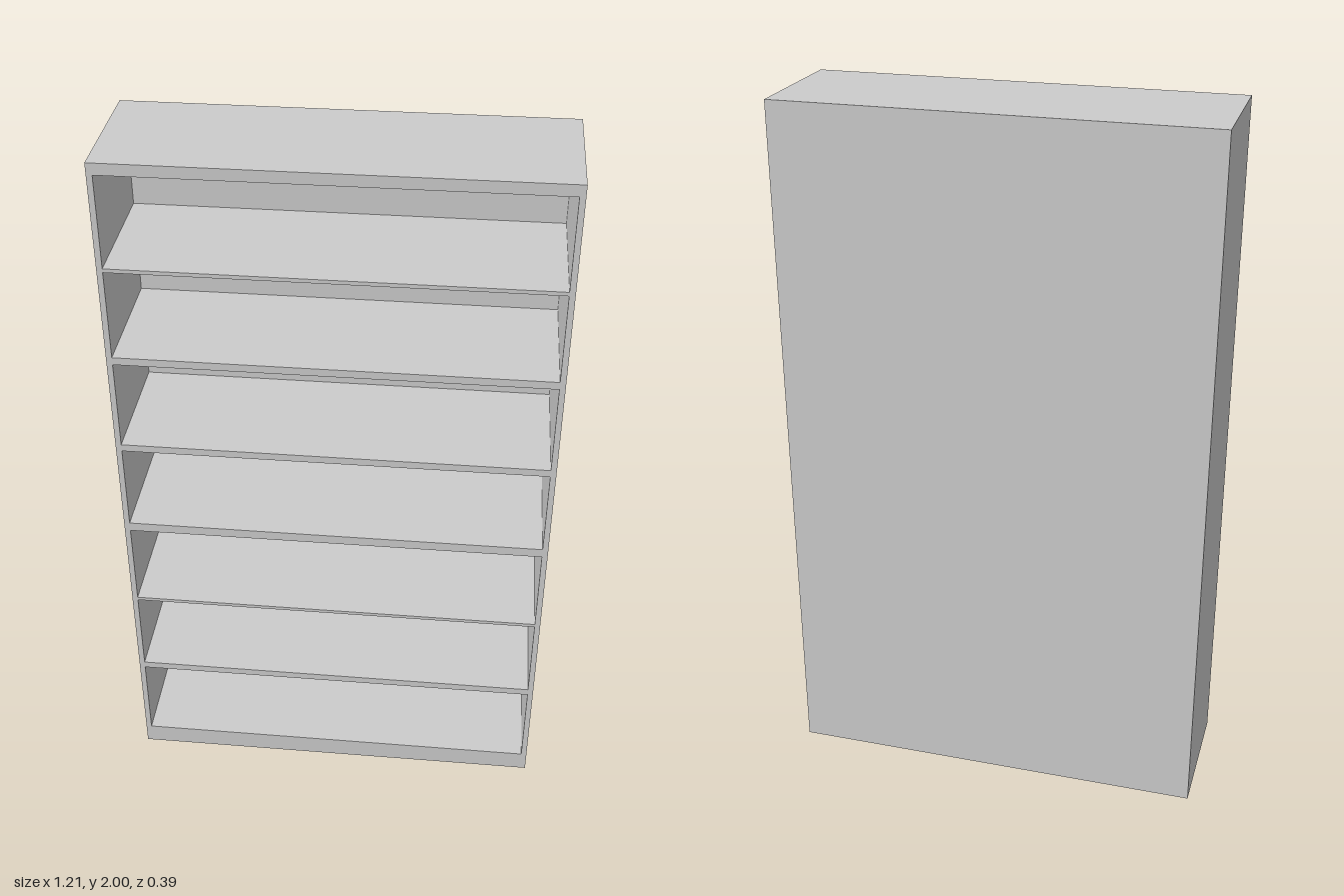
import * as THREE from 'three';

const W = 1.206, H = 2, D = 0.386; // overall size
const BACK = 0.015;                // back panel thickness
const INNER = 0.587;               // half width of each compartment

// Bottom and top height of each open compartment
const BAYS = [
  [0.061, 0.321], [0.342, 0.597], [0.607, 0.862], [0.889, 1.143],
  [1.164, 1.424], [1.446, 1.7], [1.711, 1.968],
];

function rectangle(path, halfWidth, y0, y1) {
  path.moveTo(-halfWidth, y0);
  path.lineTo(halfWidth, y0);
  path.lineTo(halfWidth, y1);
  path.lineTo(-halfWidth, y1);
  path.closePath();
  return path;
}

export function createModel() {
  const group = new THREE.Group();
  group.name = 'bookcase';
  const material = new THREE.MeshStandardMaterial({ color: 0xcccccc, flatShading: true });

  // Sides, top, plinth and shelves: one frame pierced by the compartments
  const outline = rectangle(new THREE.Shape(), W / 2, 0, H);
  outline.holes = BAYS.map(([y0, y1]) => rectangle(new THREE.Path(), INNER, y0, y1));
  const frame = new THREE.Mesh(
    new THREE.ExtrudeGeometry(outline, { depth: D - BACK, bevelEnabled: false }), material);
  frame.name = 'shelfFrame';
  frame.position.z = -D / 2 + BACK;
  group.add(frame);

  // Panel closing the rear
  const back = new THREE.Mesh(new THREE.BoxGeometry(W, H, BACK), material);
  back.name = 'backPanel';
  back.position.set(0, H / 2, -D / 2 + BACK / 2);
  group.add(back);

  return group;
}
